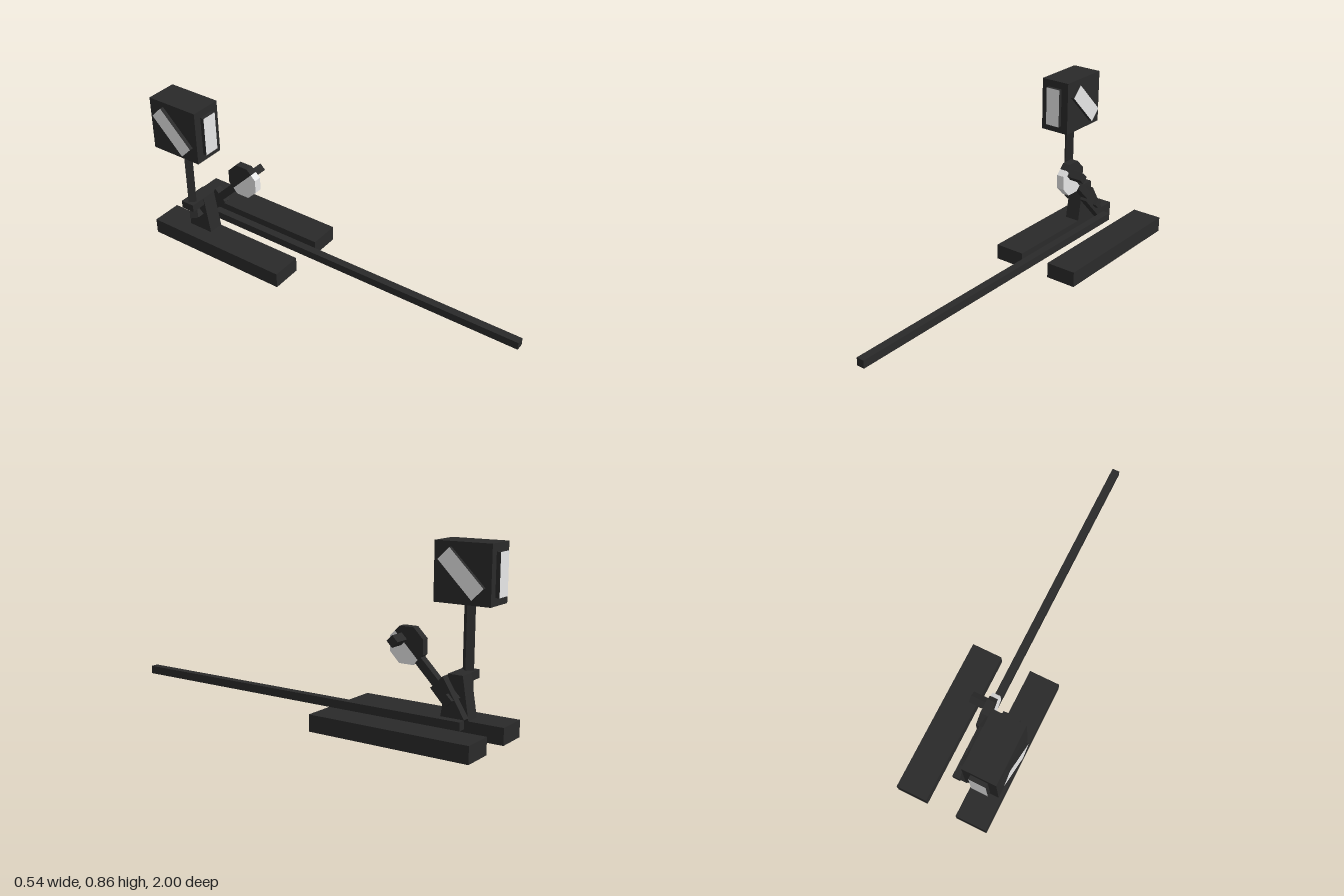
import * as THREE from 'three';

export function createModel() {
  const model = new THREE.Group();
  model.name = 'switchStand';
  const dark = new THREE.MeshStandardMaterial({ color: 0x2a2a2a, side: THREE.DoubleSide });
  dark.name = 'dark iron';
  const white = new THREE.MeshStandardMaterial({ color: 0xf5f5f5 });
  white.name = 'white paint';

  function add(name, geometry, material = dark, parent = model) {
    const mesh = new THREE.Mesh(geometry, material);
    mesh.name = name;
    parent.add(mesh);
    return mesh;
  }
  // Box given by its limits
  function box(name, x0, x1, y0, y1, z0, z1) {
    const g = new THREE.BoxGeometry(x1 - x0, y1 - y0, z1 - z0);
    g.translate((x0 + x1) / 2, (y0 + y1) / 2, (z0 + z1) / 2);
    return add(name, g);
  }
  // Side profile of [z, y] points, extruded from x0 to x1
  function profile(name, points, x0, x1, material) {
    const shape = new THREE.Shape(points.map(([z, y]) => new THREE.Vector2(-z, y)));
    const g = new THREE.ExtrudeGeometry(shape, { depth: x1 - x0, bevelEnabled: false });
    g.rotateY(Math.PI / 2).translate(x0, 0, 0);
    return add(name, g, material);
  }
  // Square bar along x, standing on its edge
  function diamondBar(name, x0, x1, y, z) {
    const bar = add(name, new THREE.BoxGeometry(x1 - x0, 0.04, 0.04));
    bar.position.set((x0 + x1) / 2, y, z);
    bar.rotation.x = Math.PI / 4;
  }

  // Sleepers, open underneath
  for (const [name, x] of [['rightSleeper', -0.13], ['leftSleeper', 0.19]]) {
    const g = new THREE.BoxGeometry(0.16, 0.08, 0.8);
    const index = Array.from(g.index.array);
    index.splice(18, 6);
    g.setIndex(index);
    g.clearGroups();
    add(name, g).position.set(x, 0.04, -0.6);
  }

  // Long pull rod
  box('pullRod', 0.01, 0.05, 0.06, 0.1, -0.84, 1);

  // Tapered pedestal and bearing plate
  profile('pedestal', [[-0.69, 0.08], [-0.83, 0.08], [-0.797, 0.28], [-0.723, 0.28]], -0.13, -0.05);
  box('bearingPlate', -0.21, -0.05, 0.24, 0.28, -0.797, -0.723);

  // Turning shaft and lantern post
  diamondBar('shaft', -0.17, 0.03, 0.18, -0.76);
  const post = add('lanternPost', new THREE.BoxGeometry(0.04, 0.41, 0.04));
  post.position.set(-0.172, 0.385, -0.76);
  post.rotation.y = Math.PI / 4;

  // Throwing lever with its wide crank
  const lever = add('lever', new THREE.BoxGeometry(0.04, 0.23, 0.04));
  lever.position.set(-0.01, 0.254, -0.686);
  lever.rotation.x = Math.PI / 4;
  profile('crank', [[-0.67, 0.22], [-0.73, 0.28], [-0.84, 0.1], [-0.812, 0.07]], -0.03, 0.01);

  // Octagonal counterweight, halved along the lever
  const apothem = 0.085;
  const radius = apothem / Math.cos(Math.PI / 8);
  function halfWeight(name, start, material) {
    const points = [];
    const put = (r, a) => points.push([-0.545 + r * Math.cos(a), 0.395 + r * Math.sin(a)]);
    put(apothem, start);
    for (let i = 0; i < 4; i++) put(radius, start + (i + 0.5) * Math.PI / 4);
    put(apothem, start + Math.PI);
    profile(name, points, -0.03, 0.01, material);
  }
  halfWeight('weightBack', Math.PI / 4, dark);
  halfWeight('weightFront', -Math.PI * 3 / 4, white);
  diamondBar('handle', 0.01, 0.09, 0.422, -0.52);

  // Signal lantern with a raised pane on each side
  const lantern = new THREE.Group();
  lantern.name = 'lantern';
  lantern.position.set(-0.17, 0.7225, -0.76);
  model.add(lantern);
  add('lanternBody', new THREE.BoxGeometry(0.16, 0.275, 0.28), dark, lantern);
  const paneMaterials = [dark, dark, dark, dark, white, dark];
  for (let i = 0; i < 4; i++) {
    const side = i % 2 === 1;
    const g = new THREE.BoxGeometry(0.08, side ? 0.24 : 0.2, 0.02);
    if (side) g.rotateZ(Math.PI / 4);
    g.translate(0, 0, side ? 0.09 : 0.15);
    g.rotateY(i * Math.PI / 2);
    add(side ? 'slantedPane' : 'uprightPane', g, paneMaterials, lantern);
  }
  return model;
}
